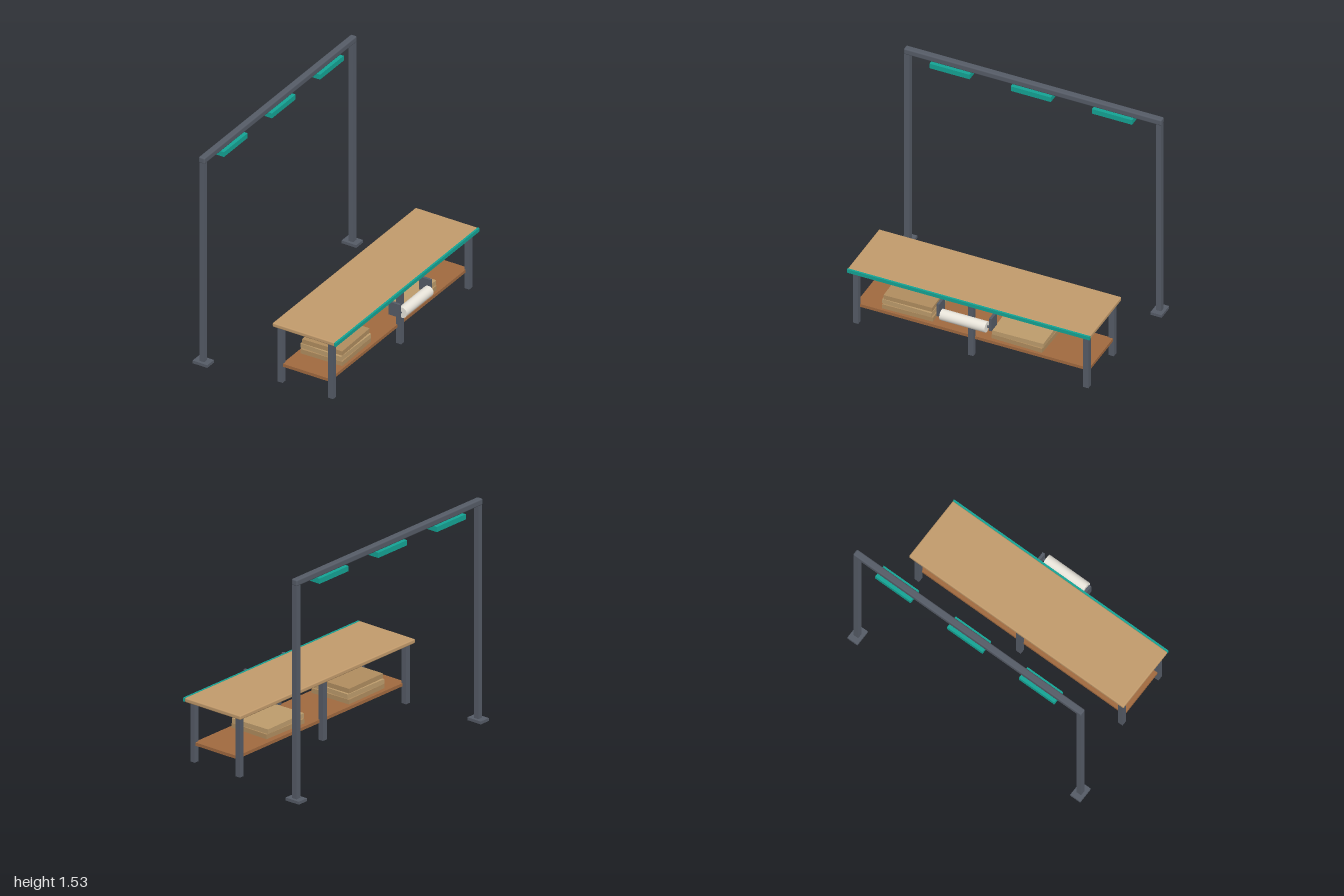
import * as THREE from 'three';
import { RoundedBoxGeometry } from 'three/addons/geometries/RoundedBoxGeometry.js';

const mat = (color) => new THREE.MeshStandardMaterial({ color });

export function createModel() {
  const metal = mat(0x555b66), wood = mat(0xc19a6b), teal = mat(0x14a394);
  const shelfWood = mat(0xa0693f), card = mat(0xb08d5f), cardLight = mat(0xbd9c6c);
  const paper = mat(0xe8e4da), lens = mat(0xd0b48c);

  // Everything is laid out along x, then the whole set is turned 45 degrees.
  const model = new THREE.Group();
  model.name = 'packingStation';
  const bench = new THREE.Group();
  bench.name = 'bench';
  const gantry = new THREE.Group();
  gantry.name = 'lightGantry';
  model.add(bench, gantry);

  const add = (parent, name, geometry, material, x, y, z) => {
    const mesh = new THREE.Mesh(geometry, material);
    mesh.name = name;
    mesh.position.set(x, y, z);
    parent.add(mesh);
    return mesh;
  };
  // Box given by its size, its bottom height and its centre in plan
  const box = (parent, name, [w, h, d], material, x, bottom, z, radius = 0) =>
    add(parent, name,
      radius ? new RoundedBoxGeometry(w, h, d, 2, radius) : new THREE.BoxGeometry(w, h, d),
      material, x, bottom + h / 2, z);

  // Bench top with coloured front edge, and lower shelf
  const benchZ = 0.305;
  box(bench, 'benchTop', [1.714, 0.03, 0.47], wood, 0, 0.41, benchZ, 0.008);
  box(bench, 'frontEdge', [1.714, 0.026, 0.014], teal, 0, 0.413, 0.545);
  box(bench, 'shelf', [1.65, 0.022, 0.36], shelfWood, 0, 0.117, benchZ);

  // Six legs
  for (const x of [-0.813, 0, 0.813])
    for (const z of [0.113, 0.495])
      box(bench, 'leg', [0.037, 0.412, 0.037], metal, x, 0, z);

  // Stacks of flat cartons on the shelf: [x, z, layers of [length, depth, turn]]
  const stacks = [
    [-0.473, 0.308, [[0.355, 0.31, 0.02], [0.35, 0.31, -0.02], [0.34, 0.3, 0.02]]],
    [0.305, 0.312, [[0.36, 0.3, -0.02], [0.36, 0.3, 0.02]]],
  ];
  for (const [x, z, layers] of stacks)
    layers.forEach(([length, depth, turn], i) => {
      const carton = box(bench, 'flatCarton', [length, 0.032, depth],
        i % 2 ? cardLight : card, x, 0.139 + i * 0.036, z);
      carton.rotation.y = turn;
    });

  // Paper roll on two brackets under the front edge
  const roll = add(bench, 'paperRoll', new THREE.CylinderGeometry(0.038, 0.038, 0.32, 32), paper, 0, 0.338, 0.608);
  const rod = add(bench, 'rollRod', new THREE.CylinderGeometry(0.009, 0.009, 0.37, 16), metal, 0, 0.338, 0.6);
  roll.rotation.z = rod.rotation.z = Math.PI / 2;
  for (const side of [-1, 1])
    box(bench, 'rollBracket', [0.018, 0.095, 0.085], metal, side * 0.185, 0.317, 0.57);

  // Gantry: posts with base plates, and the cross beam
  const gantryZ = -0.431;
  for (const side of [-1, 1]) {
    box(gantry, 'post', [0.037, 1.5, 0.037], metal, side * 0.89, 0, gantryZ);
    box(gantry, 'basePlate', [0.08, 0.02, 0.112], metal, side * 0.89, 0, gantryZ);
  }
  box(gantry, 'crossBeam', [1.822, 0.045, 0.046], metal, 0, 1.49, gantryZ, 0.01);

  // Three lamps below the beam
  for (const x of [-0.574, 0, 0.574]) {
    box(gantry, 'lampHousing', [0.283, 0.036, 0.092], teal, x, 1.456, gantryZ);
    box(gantry, 'lampLens', [0.255, 0.006, 0.07], lens, x, 1.453, gantryZ);
  }

  model.rotation.y = Math.PI / 4;
  const root = new THREE.Group();
  root.name = 'workbenchWithLights';
  root.add(model);
  return root;
}
